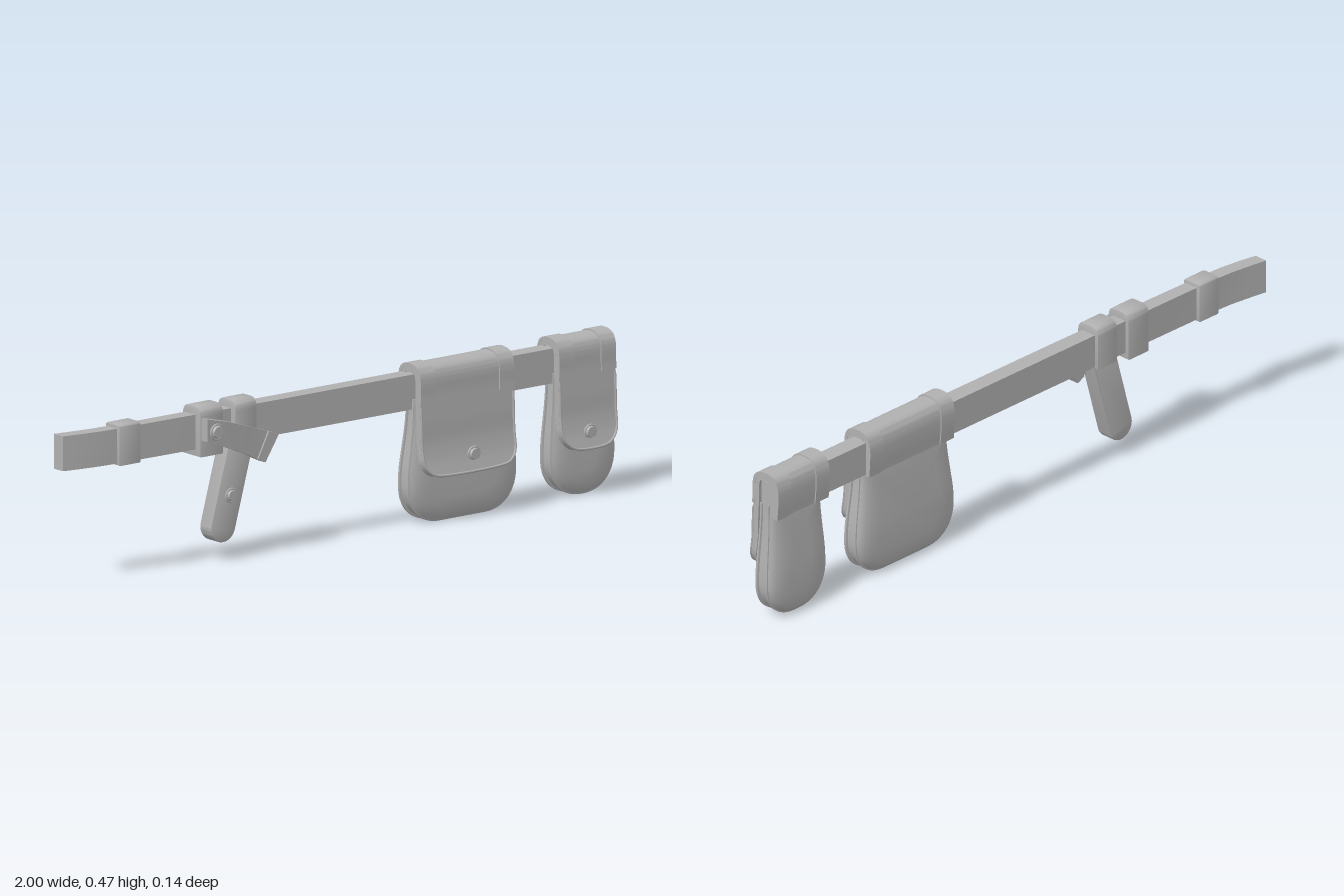
import * as THREE from 'three';
import { mergeVertices, toCreasedNormals } from 'three/addons/utils/BufferGeometryUtils.js';

const leather = new THREE.MeshStandardMaterial({ color: 0xb0b0b0 });
leather.name = 'grey leather';
const V = (x, y, z) => new THREE.Vector3(x, y, z);

function add(group, name, geometry) {
  const mesh = new THREE.Mesh(geometry, leather);
  mesh.name = name;
  group.add(mesh);
  return mesh;
}

// Skin closed rings of points, cap both ends, and make the faces point outward
function loft(rings, crease = 0.7) {
  const n = rings[0].length, pos = [], idx = [];
  rings.forEach(r => r.forEach(p => pos.push(p.x, p.y, p.z)));
  for (let i = 0; i < rings.length - 1; i++) for (let j = 0; j < n; j++) {
    const a = i * n + j, b = i * n + (j + 1) % n;
    idx.push(a, b, b + n, a, b + n, a + n);
  }
  [0, rings.length - 1].forEach((r, end) => {
    const c = rings[r].reduce((s, p) => s.add(p), V(0, 0, 0)).divideScalar(n);
    const k = pos.length / 3;
    pos.push(c.x, c.y, c.z);
    for (let j = 0; j < n; j++) {
      const a = r * n + j, b = r * n + (j + 1) % n;
      if (end) idx.push(a, b, k); else idx.push(b, a, k);
    }
  });
  const at = i => V(pos[3 * i], pos[3 * i + 1], pos[3 * i + 2]);
  let volume = 0;
  for (let i = 0; i < idx.length; i += 3) volume += at(idx[i]).dot(at(idx[i + 1]).cross(at(idx[i + 2])));
  if (volume < 0) idx.reverse();
  const g = new THREE.BufferGeometry();
  g.setAttribute('position', new THREE.Float32BufferAttribute(pos, 3));
  g.setIndex(idx);
  return toCreasedNormals(mergeVertices(g), crease);
}

// Band of leather following a curve in the yz plane, thickened inward
function band(curve, cx, halfWidth, thickness, steps, lift = 0) {
  const rings = [];
  for (let i = 0; i <= steps; i++) {
    const u = i / steps, p = curve.getPointAt(u), t = curve.getTangentAt(u);
    const normal = V(0, t.z, -t.y), h = halfWidth(p, u);
    const outer = p.clone().addScaledVector(normal, lift);
    const inner = outer.clone().addScaledVector(normal, -thickness);
    rings.push([[-h, outer], [h, outer], [h, inner], [-h, inner]].map(([x, q]) => V(cx + x, q.y, q.z)));
  }
  return loft(rings);
}

const pathOf = list => new THREE.CatmullRomCurve3(list.map(([z, y]) => V(0, y, z)));
const overBelt = [[-0.052, 0.335], [-0.056, 0.39], [-0.055, 0.43], [-0.046, 0.456], [-0.03, 0.467],
  [0.01, 0.467], [0.03, 0.456], [0.039, 0.435], [0.041, 0.38]];
const flapPath = pathOf([...overBelt, [0.045, 0.3], [0.047, 0.24], [0.055, 0.19], [0.068, 0.145]]);
const sideStrapPath = pathOf([...overBelt, [0.042, 0.36]]);

function stud(group, name, x, y, z, r = 0.02) {
  const s = new THREE.Group();
  s.name = name;
  add(s, 'studCap', new THREE.CylinderGeometry(r * 0.75, r, 0.012, 24).rotateX(Math.PI / 2));
  add(s, 'studRim', new THREE.TorusGeometry(r, 0.0035, 8, 28)).position.z = -0.003;
  s.position.set(x, y, z);
  group.add(s);
}

function pouch(name, cx, wide, top, flapHalf, corner, studX) {
  const g = new THREE.Group();
  g.name = name;
  // Padded body: rings run front to back, with two piping ridges and a gusset between
  const s = new THREE.Shape();
  s.moveTo(-top, 0.37);
  s.bezierCurveTo(-top, 0.26, -wide, 0.2, -wide, 0.115);
  s.bezierCurveTo(-wide, 0.04, -wide + 0.05, 0, -wide + 0.115, 0);
  s.lineTo(wide - 0.115, 0);
  s.bezierCurveTo(wide - 0.05, 0, wide, 0.04, wide, 0.115);
  s.bezierCurveTo(wide, 0.2, top, 0.26, top, 0.37);
  const outline = s.getPoints(14);
  const layers = [[0.037, 0.075], [0.036, 0.045], [0.031, 0.022], [0.024, 0.008], [0.02, 0.004], [0.019, 0],
    [0.012, 0], [0.01, 0.006], [-0.018, 0.006], [-0.02, 0], [-0.027, 0], [-0.028, 0.004],
    [-0.038, 0.009], [-0.046, 0.022], [-0.051, 0.045], [-0.053, 0.075]];
  add(g, 'pouchBody', loft(layers.map(([z, d]) => outline.map(p => {
    const y = 0.18 + (p.y - 0.18) * (1 - d / 0.19);
    const slim = 1 - 0.25 * THREE.MathUtils.smoothstep(y, 0.12, 0.36);
    return V(cx + p.x * (1 - d / wide), y, z * slim);
  }))));
  // Flap that wraps the belt and rounds off at its lower corners
  const half = (p, u) => {
    const k = corner - (p.y - 0.145);
    return u > 0.5 && k > 0 ? flapHalf - corner + Math.sqrt(Math.max(0, corner * corner - k * k)) : flapHalf;
  };
  add(g, 'flap', band(flapPath, cx, half, 0.022, 90));
  // Piping along the flap edge
  const side = [];
  for (let i = 54; i <= 90; i++) {
    const p = flapPath.getPointAt(i / 90);
    side.push(V(half(p, i / 90) - 0.002, p.y, p.z));
  }
  const edge = [...side.map(p => V(cx - p.x, p.y, p.z)), ...side.reverse().map(p => V(cx + p.x, p.y, p.z))];
  add(g, 'flapPiping', new THREE.TubeGeometry(new THREE.CatmullRomCurve3(edge), 110, 0.004, 6));
  // Raised belt straps at both sides
  for (const m of [-1, 1])
    add(g, 'sideStrap', band(sideStrapPath, cx + m * (flapHalf - 0.026), () => 0.027, 0.01, 40, 0.004));
  stud(g, 'pouchStud', studX, 0.19, 0.059);
  return g;
}

// Solid keeper with a rounded top, running along x
function keeper(group, name, x0, x1, y0, y1, back, front, r) {
  const s = new THREE.Shape();
  s.moveTo(-front, y0);
  s.lineTo(-back, y0);
  s.lineTo(-back, y1 - r);
  s.quadraticCurveTo(-back, y1, -back - r, y1);
  s.lineTo(-front + r, y1);
  s.quadraticCurveTo(-front, y1, -front, y1 - r);
  const b = 0.004;
  const g = new THREE.ExtrudeGeometry(s, { depth: x1 - x0 - 2 * b, bevelEnabled: true, bevelSize: b,
    bevelThickness: b, bevelOffset: -b, bevelSegments: 2, curveSegments: 8 });
  add(group, name, toCreasedNormals(g.rotateY(Math.PI / 2).translate(x0 + b, 0, 0), 0.6));
}

export function createModel() {
  const model = new THREE.Group();
  model.name = 'utilityBelt';

  // Belt, bending back at its right end
  const sections = [[-1, -0.05, 0.021], [-0.95, -0.041, 0.022], [-0.88, -0.031, 0.022], [-0.8, -0.026, 0.022],
    [-0.5, -0.022, 0.024], [-0.2, -0.019, 0.026], [0.98, -0.014, 0.027]];
  add(model, 'belt', loft(sections.map(([x, z, t]) =>
    [V(x, 0.34, z - t), V(x, 0.34, z + t), V(x, 0.443, z + t), V(x, 0.443, z - t)])));
  keeper(model, 'beltKeeper', -0.82, -0.74, 0.334, 0.455, -0.058, 0.006, 0.012);

  // Pouches
  model.add(pouch('largePouch', 0.436, 0.2, 0.176, 0.172, 0.055, 0.45));
  model.add(pouch('smallPouch', 0.88, 0.119, 0.104, 0.104, 0.065, 0.88));

  // Tool holder: two loops, a hanging tongue and a slanted strap
  const holder = new THREE.Group();
  holder.name = 'toolHolder';
  model.add(holder);
  keeper(holder, 'holderLoop', -0.535, -0.45, 0.32, 0.468, -0.058, 0.024, 0.03);
  keeper(holder, 'holderLoop', -0.405, -0.325, 0.335, 0.468, -0.058, 0.024, 0.03);

  const tongue = new THREE.Shape();
  tongue.moveTo(0.042, 0.25);
  tongue.lineTo(-0.042, 0.25);
  tongue.lineTo(-0.042, 0);
  tongue.absarc(0, 0, 0.042, Math.PI, 2 * Math.PI, false);
  const bevel = { bevelEnabled: true, bevelSize: 0.003, bevelThickness: 0.004, bevelSegments: 2, curveSegments: 16 };
  const hang = add(holder, 'hangingTongue',
    toCreasedNormals(new THREE.ExtrudeGeometry(tongue, { depth: 0.045, ...bevel }), 0.6));
  hang.position.set(-0.445, 0.1, -0.03);
  hang.rotation.z = -0.27;
  stud(holder, 'tongueStud', -0.417, 0.19, 0.022, 0.019);

  // Slanted strap, drawn as short sections from its buckle end to its free end
  const strap = [[-0.53, 0.437, -0.53, 0.37, 0.05], [-0.45, 0.417, -0.455, 0.342, 0.046],
    [-0.36, 0.388, -0.375, 0.308, 0.04], [-0.295, 0.365, -0.335, 0.288, 0.036], [-0.258, 0.352, -0.308, 0.275, 0.036]];
  add(holder, 'slantedStrap', loft(strap.map(([x, y, u, v, z]) =>
    [V(x, y, z - 0.027), V(x, y, z), V(u, v, z), V(u, v, z - 0.027)])));
  add(holder, 'strapTip', loft(strap.slice(3).map(([x, y, u, v, z]) =>
    [V(x, y, z - 0.03), V(x, y, z + 0.005), V(u, v, z + 0.005), V(u, v, z - 0.03)])));
  stud(holder, 'strapStud', -0.495, 0.395, 0.054, 0.022);
  return model;
}
